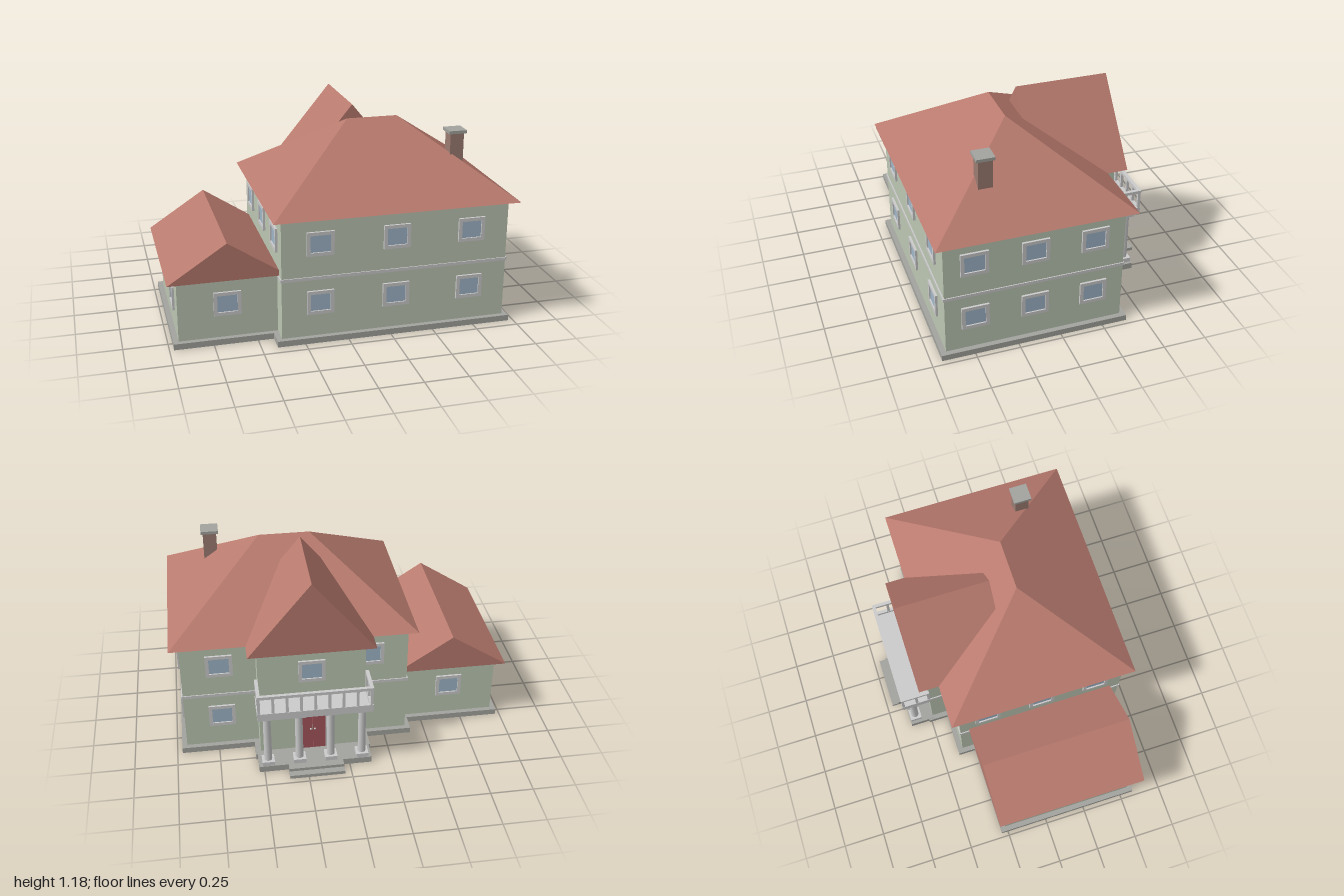
import * as THREE from 'three';
import { ConvexGeometry } from 'three/addons/geometries/ConvexGeometry.js';

const mat = (color) => new THREE.MeshStandardMaterial({ color });
const M = {
  wall: mat(0xbcc7b3), roof: mat(0xb87a6e), stone: mat(0xa2a29e), trim: mat(0xcccccc),
  glass: mat(0x9fb6c9), brick: mat(0x9c7c72), door: mat(0xa4555c),
};

function add(parent, name, geometry, material) {
  const mesh = new THREE.Mesh(geometry, material);
  mesh.name = name;
  parent.add(mesh);
  return mesh;
}

// Box given by its extents on each axis
function block(parent, name, material, x0, x1, y0, y1, z0, z1) {
  const mesh = add(parent, name, new THREE.BoxGeometry(x1 - x0, y1 - y0, z1 - z0), material);
  mesh.position.set((x0 + x1) / 2, (y0 + y1) / 2, (z0 + z1) / 2);
  return mesh;
}

// Solid roof: rectangular eaves and a ridge between two points
function roof(parent, name, x0, x1, z0, z1, eave, ridgeA, ridgeB) {
  const points = [[x0, z0], [x1, z0], [x1, z1], [x0, z1]].map(([x, z]) => new THREE.Vector3(x, eave, z));
  points.push(new THREE.Vector3(...ridgeA), new THREE.Vector3(...ridgeB));
  return add(parent, name, new ConvexGeometry(points), M.roof);
}

// Framed window facing +z before it is turned
function frameGeometry(w, h, border, depth) {
  const rect = (target, a, b) => {
    target.moveTo(-a, -b); target.lineTo(a, -b); target.lineTo(a, b); target.lineTo(-a, b); target.closePath();
    return target;
  };
  const shape = rect(new THREE.Shape(), w / 2, h / 2);
  shape.holes.push(rect(new THREE.Path(), w / 2 - border, h / 2 - border));
  return new THREE.ExtrudeGeometry(shape, { depth, bevelEnabled: false });
}
const windowFrame = frameGeometry(0.155, 0.14, 0.02, 0.013);
const windowGlass = new THREE.BoxGeometry(0.117, 0.102, 0.01);

function addWindow(parent, x, y, z, turn) {
  const group = new THREE.Group();
  group.name = 'window';
  add(group, 'windowFrame', windowFrame, M.trim);
  add(group, 'windowGlass', windowGlass, M.glass);
  group.position.set(x, y, z);
  group.rotation.y = turn;
  parent.add(group);
}

export function createModel() {
  const house = new THREE.Group();
  house.name = 'house';
  const FRONT = 0, LEFT = Math.PI / 2, BACK = Math.PI, RIGHT = -Math.PI / 2;

  // Wall volumes: main house, rear bay, side wing, each on a wider plinth
  const volumes = [
    ['main', -0.38, 0.94, -0.365, 0.66, 0.74],
    ['rearBay', -0.11, 0.51, -0.485, -0.3, 0.74],
    ['sideWing', -0.945, -0.37, -0.26, 0.55, 0.395],
  ];
  for (const [name, x0, x1, z0, z1, top] of volumes) {
    block(house, name + 'Walls', M.wall, x0, x1, 0.03, top, z0, z1);
    block(house, name + 'Plinth', M.stone, x0 - 0.03, x1 + 0.03, 0, 0.035, z0 - 0.03, z1 + 0.03);
    if (name !== 'sideWing')
      block(house, name + 'StringCourse', M.trim, x0 - 0.006, x1 + 0.006, 0.377, 0.395, z0 - 0.006, z1 + 0.006);
  }

  // Roofs
  roof(house, 'mainHipRoof', -0.43, 0.995, -0.42, 0.71, 0.74, [0.13, 1.14, 0.15], [0.43, 1.14, 0.15]);
  roof(house, 'rearBayRoof', -0.165, 0.565, -0.54, 0.01, 0.74, [0.2, 1.185, -0.54], [0.2, 1.185, 0.01]);
  roof(house, 'sideWingRoof', -1, -0.33, -0.31, 0.6, 0.395, [-0.665, 0.615, -0.31], [-0.665, 0.615, 0.6]);

  // Chimney
  block(house, 'chimney', M.brick, 0.673, 0.754, 0.91, 1.08, 0.325, 0.406);
  block(house, 'chimneyCap', M.stone, 0.661, 0.766, 1.08, 1.098, 0.313, 0.418);

  // Windows
  const low = 0.24, high = 0.59;
  for (const y of [low, high]) {
    for (const x of [-0.16, 0.28, 0.72]) addWindow(house, x, y, 0.66, FRONT);
    for (const z of [-0.19, 0.15, 0.49]) {
      addWindow(house, 0.94, y, z, LEFT);
      if (y === high) addWindow(house, -0.38, y, z, RIGHT);
    }
    addWindow(house, 0.72, y, -0.365, BACK);
  }
  addWindow(house, -0.16, high, -0.365, BACK);
  addWindow(house, 0.2, high, -0.485, BACK);
  addWindow(house, -0.665, low, 0.55, FRONT);
  addWindow(house, -0.665, low, -0.26, BACK);
  for (const z of [-0.058, 0.348]) addWindow(house, -0.945, low, z, RIGHT);

  // Double door in the rear bay
  const door = new THREE.Group();
  door.name = 'door';
  house.add(door);
  const frame = add(door, 'doorFrame', frameGeometry(0.18, 0.31, 0.015, 0.01), M.trim);
  frame.position.set(0.2, 0.18, -0.495);
  for (const s of [-1, 1]) {
    const x = 0.2 + s * 0.038;
    block(door, 'doorLeaf', M.door, x - 0.037, x + 0.037, 0.04, 0.32, -0.498, -0.48);
    const knob = add(door, 'doorKnob', new THREE.SphereGeometry(0.006, 10, 8), M.trim);
    knob.position.set(0.2 + s * 0.012, 0.18, -0.501);
  }

  // Porch floor and steps
  const porch = new THREE.Group();
  porch.name = 'porch';
  house.add(porch);
  block(porch, 'porchFloor', M.stone, -0.13, 0.53, 0, 0.038, -0.632, -0.48);
  block(porch, 'upperStep', M.stone, 0.04, 0.36, 0, 0.038, -0.675, -0.6);
  block(porch, 'lowerStep', M.stone, 0.04, 0.36, 0, 0.02, -0.715, -0.6);

  // Columns
  const shaft = new THREE.CylinderGeometry(0.022, 0.023, 0.305, 12);
  for (let i = 0; i < 4; i++) {
    const x = -0.075 + i * 0.1833, z = -0.593;
    block(porch, 'columnBase', M.trim, x - 0.036, x + 0.036, 0.038, 0.065, z - 0.036, z + 0.036);
    add(porch, 'columnShaft', shaft, M.trim).position.set(x, 0.2175, z);
    block(porch, 'columnCapital', M.trim, x - 0.036, x + 0.036, 0.367, 0.39, z - 0.036, z + 0.036);
  }

  // Balcony slab and railing
  const balcony = new THREE.Group();
  balcony.name = 'balcony';
  house.add(balcony);
  block(balcony, 'balconySlab', M.trim, -0.13, 0.53, 0.39, 0.42, -0.655, -0.48);
  for (const [y0, y1] of [[0.42, 0.438], [0.537, 0.555]]) {
    block(balcony, 'backRail', M.trim, -0.13, 0.53, y0, y1, -0.658, -0.638);
    for (const x of [-0.13, 0.51]) block(balcony, 'sideRail', M.trim, x, x + 0.02, y0, y1, -0.638, -0.48);
  }
  const baluster = (x, z) =>
    block(balcony, 'baluster', M.trim, x - 0.008, x + 0.008, 0.438, 0.537, z - 0.008, z + 0.008);
  for (let i = 0; i <= 8; i++) baluster(-0.12 + i * 0.08, -0.648);
  for (const x of [-0.12, 0.52]) for (const z of [-0.563, -0.488]) baluster(x, z);

  return house;
}
